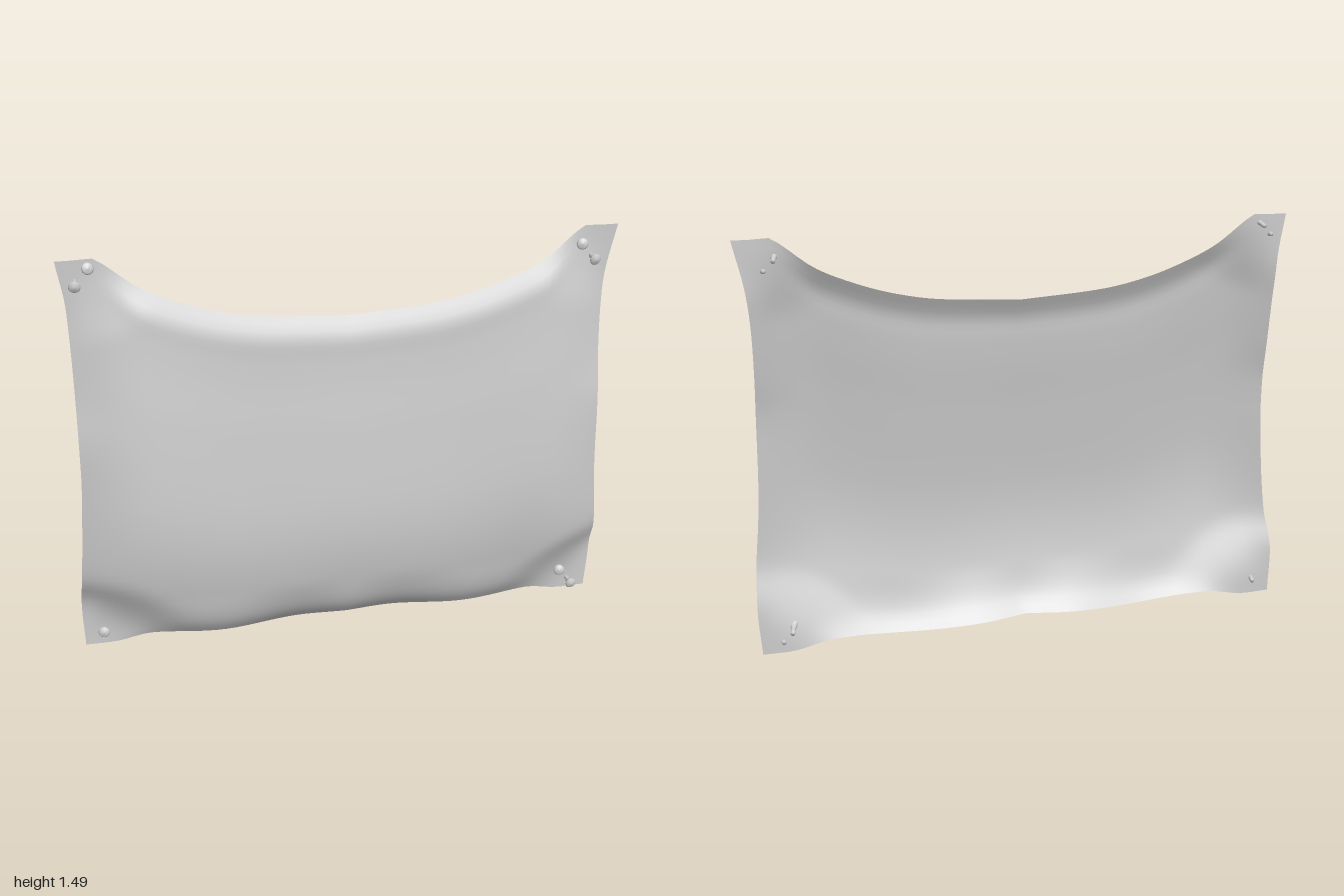
import * as THREE from 'three';

// Smooth interpolation through [position, value] pairs
function profile(points) {
  return (t) => {
    const n = points.length - 1;
    if (t <= points[0][0]) return points[0][1];
    if (t >= points[n][0]) return points[n][1];
    let i = 0;
    while (t > points[i + 1][0]) i++;
    const slope = (k) => {
      const a = points[Math.max(k - 1, 0)], b = points[Math.min(k + 1, n)];
      return (b[1] - a[1]) / (b[0] - a[0]);
    };
    const [x0, y0] = points[i], [x1, y1] = points[i + 1];
    const h = x1 - x0, s = (t - x0) / h, s2 = s * s, s3 = s2 * s;
    return (2 * s3 - 3 * s2 + 1) * y0 + (s3 - 2 * s2 + s) * h * slope(i)
      + (3 * s2 - 2 * s3) * y1 + (s3 - s2) * h * slope(i + 1);
  };
}

// Outline of the sheet
const leftEdge = profile([[0, 0.975], [0.13, 0.985], [0.35, 0.955], [0.5, 0.947], [0.75, 0.947], [0.88, 0.962], [1, 1]]);
const rightEdge = profile([[0, -0.997], [0.12, -1], [0.35, -0.975], [0.5, -0.962], [0.88, -0.962], [1, -0.987]]);
const topEdge = profile([[0, 1.23], [0.3, 1.25], [0.46, 1.28], [0.6, 1.325], [0.73, 1.385], [0.87, 1.49], [0.92, 1.49], [1, 1.49]]);
const bottomEdge = profile([[0, 0.025], [0.2, 0.017], [0.45, 0.01], [0.75, 0.025], [0.88, 0.003], [1, 0.003]]);

// Depth of the sheet: middle bulge, side edges and wavy lower hem
const middleDepth = profile([[0, -0.04], [0.04, 0], [0.1, 0.033], [0.2, 0.064], [0.31, 0.08], [0.43, 0.078], [0.65, 0.05], [0.8, 0.024], [0.88, 0.012], [0.94, 0.004], [1, -0.032]]);
const sideDepth = profile([[0, -0.05], [0.12, -0.048], [0.2, 0], [0.28, 0.015], [0.42, 0.02], [0.57, 0.015], [0.67, -0.01], [0.77, -0.03], [0.89, -0.05], [1, -0.05]]);
const hemWave = profile([[0, 0.008], [0.2, -0.014], [0.5, 0.014], [0.8, 0], [1, 0]]);
const across = profile([[0, -0.012], [0.4, -0.014], [0.72, 0], [1, 0]]);

function sheetPoint(u, v, target) {
  const s = Math.abs(u * 2 - 1);
  const x = THREE.MathUtils.lerp(rightEdge(v), leftEdge(v), u);
  const bottom = bottomEdge(s), top = topEdge(s);
  const y = bottom + v * (top - bottom);
  // the sides curl back
  const curl = Math.max(0, 1 - (1 - s) / 0.28) ** 2;
  const middle = middleDepth(v) + across(s) * Math.sin(Math.PI * v)
    + hemWave(s) * Math.max(0, 1 - v / 0.15);
  let z = THREE.MathUtils.lerp(middle, sideDepth(v), curl);
  // the corners ease back to the pinned plane
  const reach = Math.hypot(1 - Math.abs(x), 1.35 * (y > 0.75 ? 1.49 - y : y));
  z = THREE.MathUtils.lerp(-0.05, z, THREE.MathUtils.smoothstep(reach, 0.08, 0.42));
  target.set(x, y, z);
}

function createSheet(material) {
  const geometry = new THREE.PlaneGeometry(1, 1, 64, 48);
  const position = geometry.attributes.position, point = new THREE.Vector3();
  for (let i = 0; i < position.count; i++) {
    sheetPoint(position.getX(i) + 0.5, position.getY(i) + 0.5, point);
    position.setXYZ(i, point.x, point.y, point.z);
  }
  geometry.computeVertexNormals();
  const sheet = new THREE.Mesh(geometry, material);
  sheet.name = 'sheet';
  return sheet;
}

function createPin(material, head, tail) {
  // Domed head, tapering grip and thin shank, along +y from the tail
  const start = new THREE.Vector3(...tail), end = new THREE.Vector3(...head);
  const length = start.distanceTo(end);
  const points = [[0, 0], [0.008, 0], [0.008, length - 0.048], [0.01, length - 0.034],
    [0.013, length - 0.023], [0.019, length - 0.014], [0.021, length - 0.009],
    [0.016, length - 0.003], [0, length]];
  const pin = new THREE.Mesh(
    new THREE.LatheGeometry(points.map(([r, y]) => new THREE.Vector2(r, y)), 14), material);
  pin.position.copy(start);
  pin.quaternion.setFromUnitVectors(new THREE.Vector3(0, 1, 0), end.sub(start).normalize());
  pin.name = 'pin';
  return pin;
}

export function createModel() {
  const model = new THREE.Group();
  model.name = 'pinnedSheet';
  const clothMaterial = new THREE.MeshStandardMaterial({ color: 0xcccccc, side: THREE.DoubleSide });
  const pinMaterial = new THREE.MeshStandardMaterial({ color: 0xcccccc });
  model.add(createSheet(clothMaterial));

  // Head and tail of each pin
  const pins = [
    [[-0.93, 1.41, 0.002], [-0.925, 1.42, -0.065]],
    [[-0.88, 1.47, -0.013], [-0.89, 1.452, -0.08]],
    [[0.855, 1.435, -0.013], [0.87, 1.42, -0.08]],
    [[0.905, 1.375, 0.004], [0.9, 1.385, -0.062]],
    [[-0.93, 0.07, -0.008], [-0.92, 0.06, -0.073]],
    [[0.855, 0.1, -0.013], [0.87, 0.083, -0.08]],
    [[0.905, 0.038, 0.002], [0.9, 0.045, -0.062]],
  ];
  const pinGroup = new THREE.Group();
  pinGroup.name = 'pins';
  for (const [head, tail] of pins) pinGroup.add(createPin(pinMaterial, head, tail));
  model.add(pinGroup);
  return model;
}
